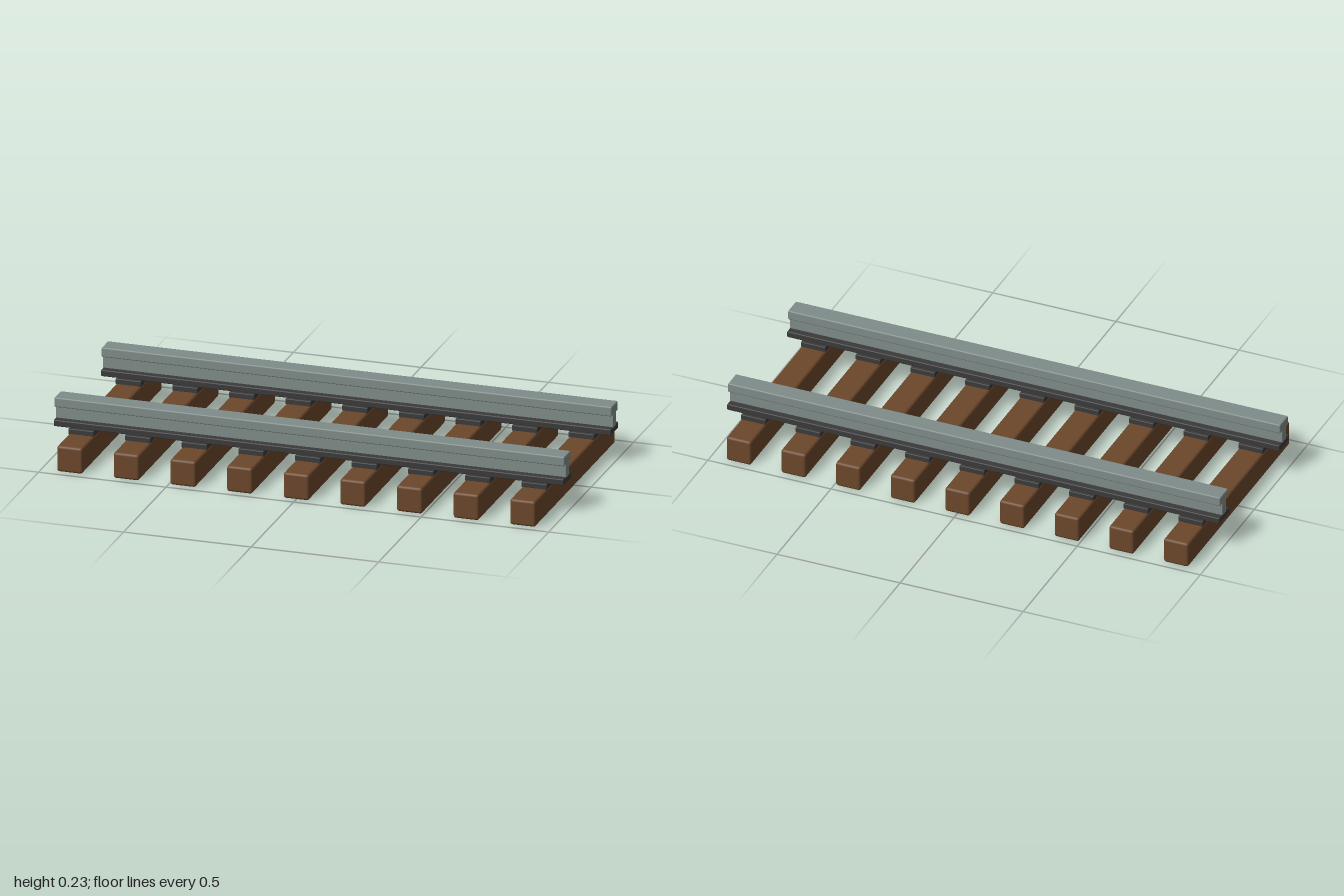
import * as THREE from 'three';
import { RoundedBoxGeometry } from 'three/addons/geometries/RoundedBoxGeometry.js';

const material = (name, color) => {
  const m = new THREE.MeshStandardMaterial({ color });
  m.name = name;
  return m;
};

export function createModel() {
  const wood = material('brown wood', 0x6b472b);
  const steel = material('grey steel', 0x7f8c89);
  const iron = material('dark iron', 0x3a3a3a);

  const track = new THREE.Group();
  track.name = 'railwayTrack';

  // Softly bevelled block spanning y0 to y1, centred on x and z
  const block = (parent, name, mat, width, y0, y1, depth, x, z, bevel) => {
    const geometry = new RoundedBoxGeometry(width, y1 - y0, depth, 2, bevel);
    const mesh = new THREE.Mesh(geometry, mat);
    mesh.name = name;
    mesh.position.set(x, (y0 + y1) / 2, z);
    parent.add(mesh);
  };

  const railZ = 0.278;
  const tieCount = 9;
  const tieSpacing = 0.222;

  // Wooden sleepers, each carrying a plate under both rails
  for (let i = 0; i < tieCount; i++) {
    const x = (i - (tieCount - 1) / 2) * tieSpacing;
    const sleeper = new THREE.Group();
    sleeper.name = 'sleeper';
    block(sleeper, 'sleeperBeam', wood, 0.1, 0, 0.102, 0.945, x, 0, 0.01);
    for (const side of [-1, 1]) {
      block(sleeper, 'tiePlate', iron, 0.1, 0.1, 0.122, 0.116, x, side * railZ, 0.003);
    }
    track.add(sleeper);
  }

  // Rails: dark foot, slim web and broad head
  for (const side of [-1, 1]) {
    const rail = new THREE.Group();
    rail.name = side > 0 ? 'frontRail' : 'backRail';
    const z = side * railZ;
    block(rail, 'railFoot', iron, 2, 0.12, 0.145, 0.091, 0, z, 0.004);
    block(rail, 'railWeb', steel, 2, 0.141, 0.197, 0.036, 0, z, 0.002);
    block(rail, 'railHead', steel, 2, 0.193, 0.231, 0.075, 0, z, 0.005);
    track.add(rail);
  }

  return track;
}
